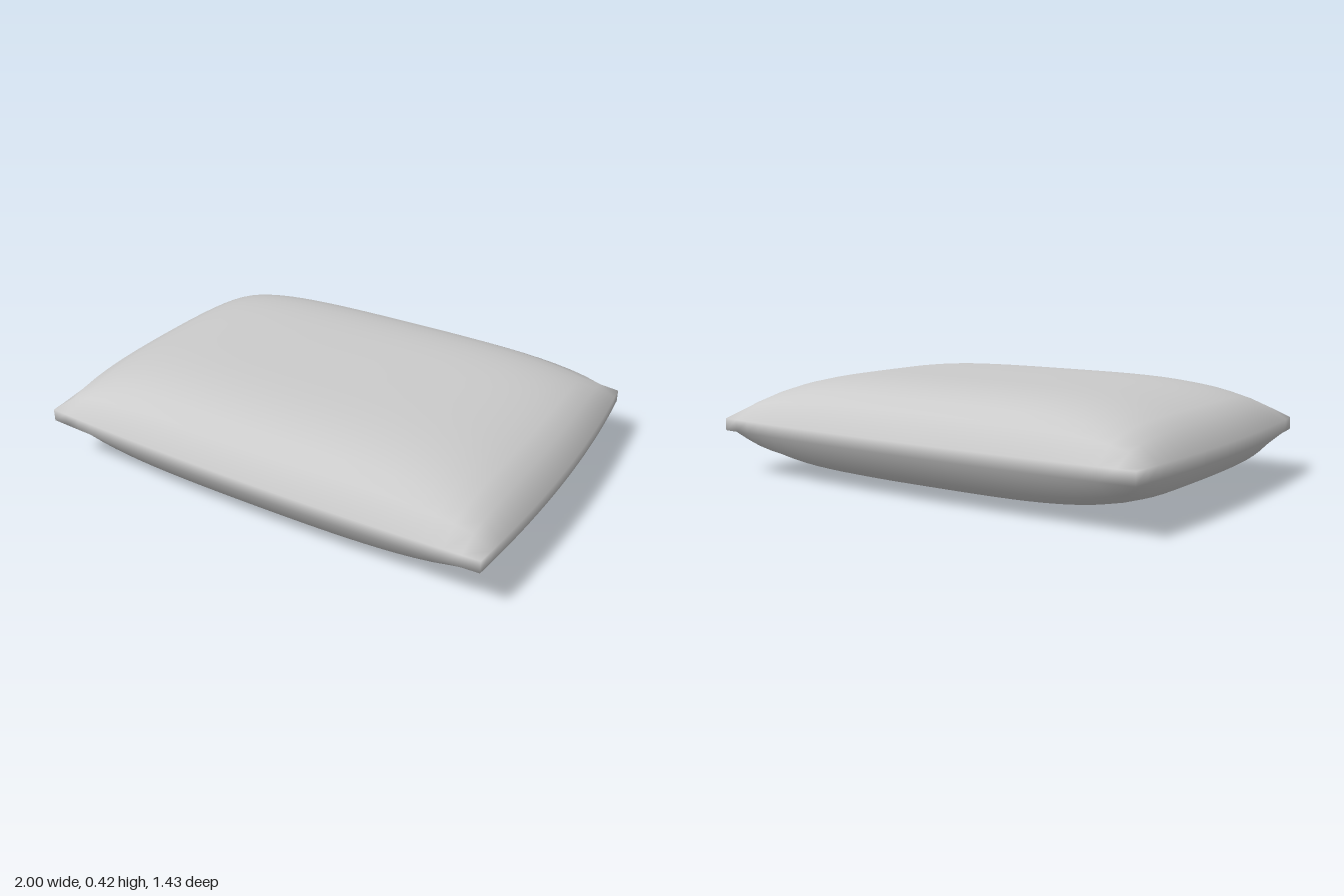
import * as THREE from 'three';
import { mergeVertices } from 'three/addons/utils/BufferGeometryUtils.js';

const HALF_X = 1, HALF_Z = 0.717, MID_Y = 0.213, RIM = 0.025, PUFF = 0.186;

// Fullness across the cushion: flat in the middle, falling steeply at the seam
const fullness = (t) => Math.pow(Math.max(0, 1 - t ** 4), 0.6);

export function createModel() {
  const group = new THREE.Group();
  group.name = 'pillow';

  // A thin gridded slab, welded so that it shades smoothly over the seam
  let geometry = new THREE.BoxGeometry(2, 2, 2, 28, 1, 20);
  geometry.deleteAttribute('normal');
  geometry.deleteAttribute('uv');
  geometry = mergeVertices(geometry);

  // Inflate the two faces and bow the four sides outwards
  const p = geometry.attributes.position;
  for (let i = 0; i < p.count; i++) {
    const u = p.getX(i), side = p.getY(i), v = p.getZ(i);
    p.setXYZ(
      i,
      u * HALF_X * (1 - 0.038 * v * v),
      MID_Y + side * (RIM + PUFF * fullness(u) * fullness(v)),
      v * HALF_Z * (1 - 0.04 * u * u)
    );
  }
  geometry.computeVertexNormals();

  const cushion = new THREE.Mesh(geometry, new THREE.MeshStandardMaterial({ color: 0xcccccc }));
  cushion.name = 'cushion';
  group.add(cushion);
  return group;
}
